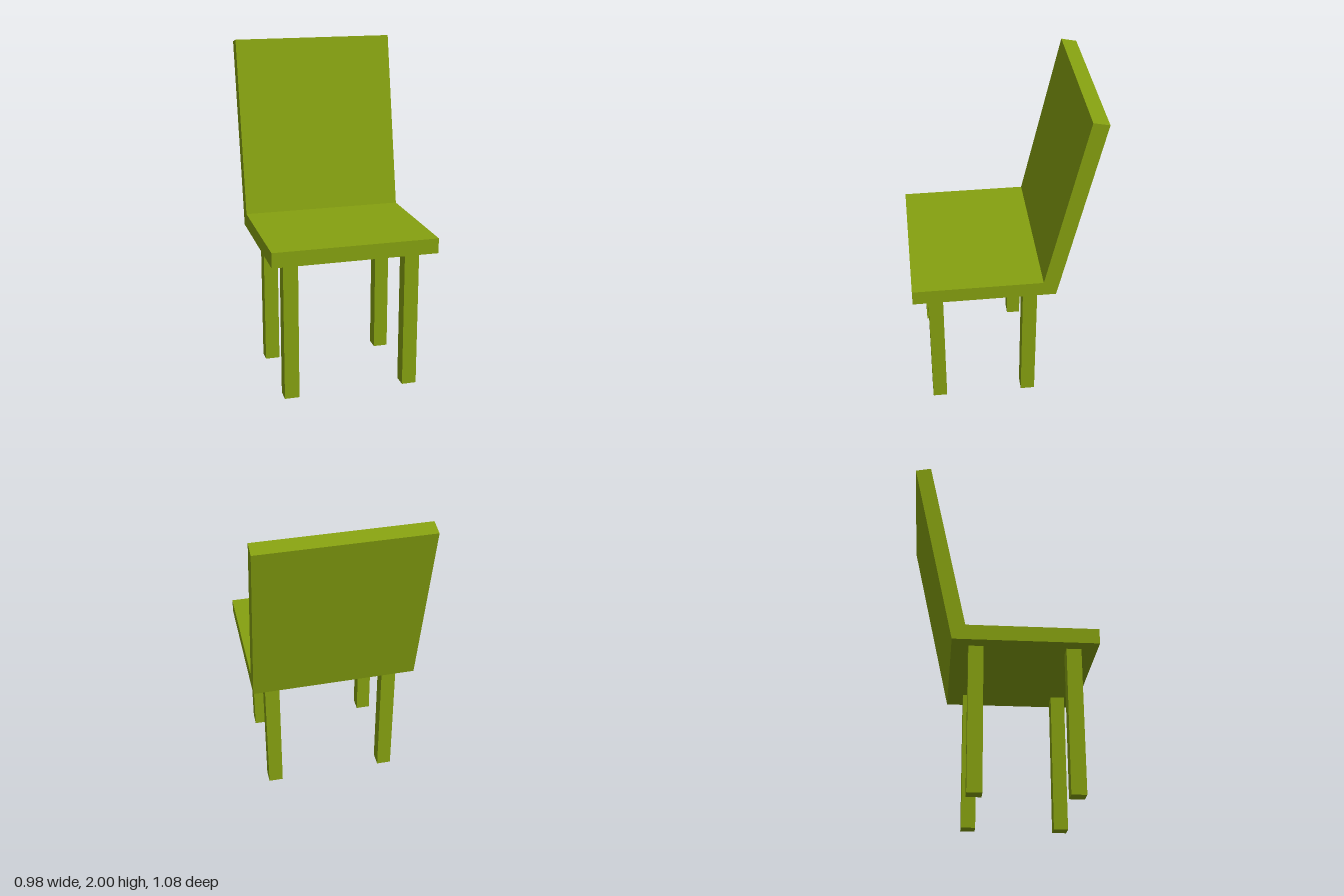
import * as THREE from 'three';

export function createModel() {
  const group = new THREE.Group();
  group.name = 'chair';
  const olive = new THREE.MeshStandardMaterial({ color: 0x86a110 });
  olive.name = 'olive green';

  // Seat and leaning backrest: one side profile (z, y) extruded across the width
  const width = 0.982;
  const profile = new THREE.Shape([
    [0.538, 0.858], [0.538, 0.948], [-0.223, 0.948],
    [-0.447, 2.0], [-0.538, 1.981], [-0.298, 0.858],
  ].map(([z, y]) => new THREE.Vector2(z, y)));
  const shell = new THREE.ExtrudeGeometry(profile, { depth: width, bevelEnabled: false });
  shell.translate(0, 0, -width / 2).rotateY(-Math.PI / 2);
  const seatAndBack = new THREE.Mesh(shell, olive);
  seatAndBack.name = 'seatAndBackrest';
  group.add(seatAndBack);

  // Four square legs
  const legHeight = 0.858;
  const legGeometry = new THREE.BoxGeometry(0.088, legHeight, 0.086);
  for (const [end, z] of [['front', 0.402], ['back', -0.158]]) {
    for (const [side, x] of [['Left', 0.364], ['Right', -0.364]]) {
      const leg = new THREE.Mesh(legGeometry, olive);
      leg.name = `${end}${side}Leg`;
      leg.position.set(x, legHeight / 2, z);
      group.add(leg);
    }
  }
  return group;
}
